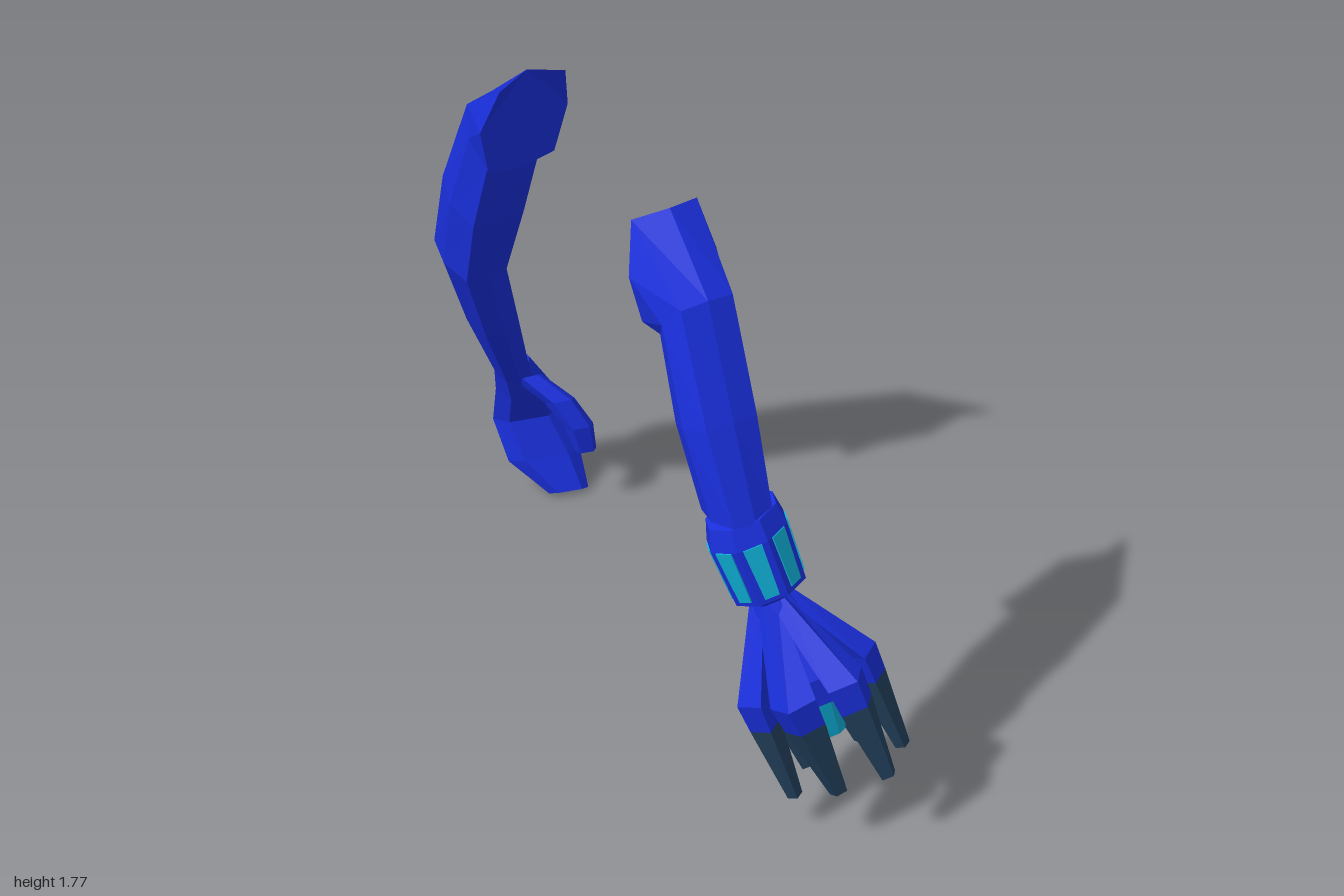
import * as THREE from 'three';

const V = (x, y, z) => new THREE.Vector3(x, y, z);
const mat = (color) => new THREE.MeshStandardMaterial({ color, flatShading: true });

// Closed faceted solid through rings of equal point count
function loft(name, rings, material) {
  const tris = [];
  const n = rings[0].length;
  for (let r = 0; r < rings.length - 1; r++) {
    const a = rings[r], b = rings[r + 1];
    for (let i = 0; i < n; i++) {
      const j = (i + 1) % n;
      tris.push([a[i], a[j], b[j]], [a[i], b[j], b[i]]);
    }
  }
  const first = rings[0], last = rings[rings.length - 1];
  for (let i = 1; i < n - 1; i++) {
    tris.push([first[0], first[i + 1], first[i]], [last[0], last[i], last[i + 1]]);
  }
  // Wind outward, judged by the sign of the enclosed volume
  const origin = rings[0][0], cross = V(0, 0, 0);
  let volume = 0;
  for (const [a, b, c] of tris) {
    cross.crossVectors(b.clone().sub(origin), c.clone().sub(origin));
    volume += a.clone().sub(origin).dot(cross);
  }
  const points = tris.flatMap(([a, b, c]) => (volume < 0 ? [a, c, b] : [a, b, c]));
  const geometry = new THREE.BufferGeometry().setFromPoints(points);
  geometry.computeVertexNormals();
  const mesh = new THREE.Mesh(geometry, material);
  mesh.name = name;
  return mesh;
}

// Arm section from its front and back edges [y, z], centre x, half width
// and how far the front corners flare back
const PROFILE = [[0, 0], [0.75, 0.06], [1, 0.5], [0.75, 0.94], [0, 1], [-0.75, 0.94], [-1, 0.5], [-0.75, 0.06]];
function armRing([fy, fz, by, bz, cx, hw, flare = 0]) {
  return PROFILE.map(([w, t]) => {
    const back = t === 0.06 ? flare : 0;
    return V(cx + w * hw, fy + (by - fy) * t, fz + (bz - fz) * t - back);
  });
}
const UPPER_ARM = [
  [1.79, 0.31, 1.45, 0.34, -0.155, 0.137, 0.032],
  [1.6, 0.505, 1.44, 0.38, -0.15, 0.108],
  [1.28, 0.64, 1.2, 0.455, -0.15, 0.105],
  [1.0, 0.735, 0.96, 0.54, -0.137, 0.083],
];
const FOREARM = [
  [0.73, 0.805, 0.68, 0.635, -0.03, 0.07],
  [0.475, 0.815, 0.44, 0.725, 0.07, 0.05],
];

// Ring around a leaning axis: higher toward +x and +z
const lean = (angle) => V(Math.cos(angle), 0.3 * (Math.cos(angle) + Math.sin(angle)), Math.sin(angle));
function leanRing(c, r, n = 8) {
  return Array.from({ length: n }, (_, i) => lean((i / n) * Math.PI * 2).multiplyScalar(r).add(c));
}

function clawArm(blue, cyan, dark) {
  const g = new THREE.Group();
  g.name = 'clawArm';
  g.add(loft('arm', UPPER_ARM.map(armRing), blue));

  // Cuff with inset light panels
  const top = leanRing(V(-0.115, 0.92, 0.65), 0.112);
  const low = leanRing(V(-0.07, 0.75, 0.692), 0.102);
  const wrist = V(-0.065, 0.71, 0.685);
  g.add(loft('cuff', [leanRing(V(-0.128, 0.985, 0.64), 0.098), top, low, leanRing(wrist, 0.05)], blue));
  for (let i = 0; i < 8; i++) {
    const j = (i + 1) % 8;
    const at = (s, t) => top[i].clone().lerp(top[j], s).lerp(low[i].clone().lerp(low[j], s), t);
    const quad = [at(0.2, 0.0), at(0.8, 0.0), at(0.75, 0.92), at(0.25, 0.92)];
    const out = lean(((i + 0.5) / 8) * Math.PI * 2).normalize();
    const shift = (d) => quad.map((p) => p.clone().addScaledVector(out, d));
    g.add(loft('cuffPanel', [shift(-0.006), shift(0.004)], cyan));
  }

  // Palm core and its glowing centre
  g.add(loft('palm', [leanRing(wrist, 0.05), leanRing(V(0.0, 0.5, 0.76), 0.11), leanRing(V(0.02, 0.42, 0.78), 0.095)], blue));
  g.add(loft('palmLight', [leanRing(V(0.02, 0.43, 0.78), 0.075), leanRing(V(0.06, 0.3, 0.81), 0.035)], cyan));

  // Six splayed fingers, each with a claw
  for (let k = 0; k < 6; k++) {
    const angle = ((75 - 60 * k) * Math.PI) / 180;
    const out = lean(angle);
    const side = V(-Math.sin(angle), 0.3 * (Math.cos(angle) - Math.sin(angle)), Math.cos(angle));
    const kite = (c, d, w) => [[d, 0], [0, w], [-d, 0], [0, -w]]
      .map(([a, b]) => c.clone().addScaledVector(out, a).addScaledVector(side, b));
    const base = wrist.clone().addScaledVector(out, 0.025);
    const knuckle = V(0, 0.48, 0.77).addScaledVector(out, 0.145);
    const tip = V(0.1, 0.165, 0.825).addScaledVector(out, k === 5 ? 0.11 : 0.15);
    const split = knuckle.clone().lerp(tip, 0.27);
    g.add(loft('finger', [kite(base, 0.032, 0.028), kite(knuckle, 0.048, 0.063), kite(split, 0.042, 0.056)], blue));
    g.add(loft('claw', [kite(split, 0.042, 0.056), kite(tip, 0.02, 0.024)], dark));
  }
  return g;
}

// Curled digit: stations [x, y, z, half thickness, half width]
function digit(name, stations, material) {
  const across = V(0.97, 0, 0.24);
  const centres = stations.map(([x, y, z]) => V(x, y, z));
  const last = centres.length - 1;
  const rings = centres.map((c, i) => {
    const tangent = centres[Math.min(i + 1, last)].clone().sub(centres[Math.max(i - 1, 0)]);
    const normal = tangent.cross(across).normalize();
    const [, , , d, w] = stations[i];
    return [[1, 0.6], [0, 1], [-1, 0.6], [-1, -0.6], [0, -1], [1, -0.6]]
      .map(([a, b]) => c.clone().addScaledVector(normal, a * d).addScaledVector(across, b * w));
  });
  return loft(name, rings, material);
}

function mittArm(blue) {
  const g = new THREE.Group();
  g.name = 'mittArm';
  // Same upper arm, mirrored to the far side
  const mirror = (ring) => ring.map((p) => V(p.x, p.y, -(p.z + 0.135)));
  g.add(loft('arm', [...UPPER_ARM, ...FOREARM].map((s) => mirror(armRing(s))), blue));
  g.add(digit('hand', [
    [0.07, 0.48, -0.905, 0.043, 0.05],
    [0.125, 0.36, -0.94, 0.045, 0.075],
    [0.15, 0.24, -0.965, 0.03, 0.092],
    [0.18, 0.12, -0.918, 0.028, 0.1],
    [0.222, 0.025, -0.86, 0.018, 0.055],
  ], blue));
  g.add(digit('thumb', [
    [0.11, 0.42, -0.89, 0.03, 0.04],
    [0.175, 0.355, -0.83, 0.03, 0.042],
    [0.215, 0.28, -0.795, 0.025, 0.04],
    [0.232, 0.2, -0.788, 0.018, 0.03],
  ], blue));
  return g;
}

export function createModel() {
  const blue = mat(0x1a30e0), cyan = mat(0x10b4dc), dark = mat(0x23425f);
  const model = new THREE.Group();
  model.name = 'armPair';
  model.add(clawArm(blue, cyan, dark), mittArm(blue));
  return model;
}
